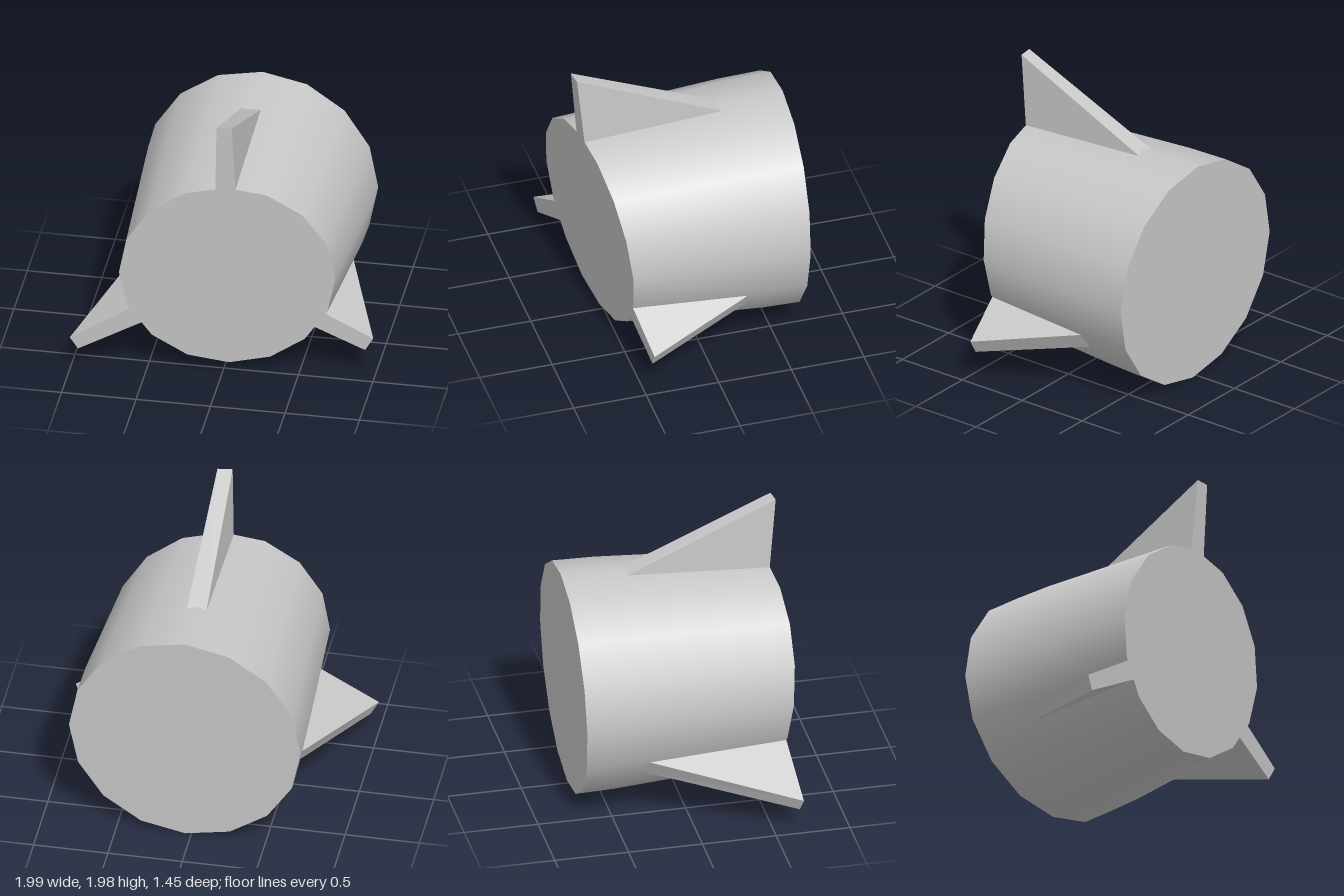
import * as THREE from 'three';

const CX = 0.04, CY = 0.782, SIDES = 16;
const R_FRONT = 0.71, R_MID = 0.776, R_BACK = 0.782;

// slanted end planes of the body
const frontZ = (x, y) => 0.605 - 0.127 * (x - CX) + 0.092 * (y - CY);
const backZ = (x, y) => -0.703 + 0.022 * (x - CX) - 0.026 * (y - CY);

// tapered shell: each ring of a unit cylinder gets its own radius and plane
function shellGeometry() {
  const g = new THREE.CylinderGeometry(R_FRONT, R_BACK, 1.3, SIDES, 2, true).rotateX(Math.PI / 2);
  const p = g.attributes.position;
  for (let i = 0; i < p.count; i++) {
    const level = Math.round(p.getZ(i) / 0.65); // 1 front, 0 middle, -1 back
    const a = Math.atan2(p.getY(i), p.getX(i));
    const r = [R_BACK, R_MID, R_FRONT][level + 1];
    const x = CX + r * Math.cos(a), y = CY + r * Math.sin(a);
    p.setXYZ(i, x, y, level === 1 ? frontZ(x, y) : level === 0 ? -0.43 : backZ(x, y));
  }
  return g;
}

// flat end disc laid on its slanted plane
function capGeometry(radius, planeZ, facesBack) {
  const g = new THREE.CircleGeometry(radius, SIDES);
  if (facesBack) g.rotateY(Math.PI);
  const p = g.attributes.position;
  for (let i = 0; i < p.count; i++) {
    const x = p.getX(i) + CX, y = p.getY(i) + CY;
    p.setXYZ(i, x, y, planeZ(x, y));
  }
  g.computeVertexNormals();
  return g;
}

// triangular fin pointing outwards at an angle, its front flush with the front cap
function finGeometry(angle, tipRadius, tipHalf) {
  const c = Math.cos(angle), s = Math.sin(angle);
  const at = (r, w, z) => {
    const x = CX + r * c - w * s, y = CY + r * s + w * c;
    return [x, y, z ?? frontZ(x, y)];
  };
  const half = 0.066;
  const side = (k) => [at(0.69, k * half), at(tipRadius, k * tipHalf), at(0.748, k * half, -0.3)];
  const [b0, t0, e0] = side(-1), [b1, t1, e1] = side(1);
  const faces = [
    b0, t0, t1, b0, t1, b1, // front
    b0, e0, t0, // one side
    b1, t1, e1, // other side
    t0, e0, e1, t0, e1, t1, // sloping outer edge
    b0, b1, e1, b0, e1, e0, // root
  ];
  const g = new THREE.BufferGeometry();
  g.setAttribute('position', new THREE.Float32BufferAttribute(faces.flat(), 3));
  g.computeVertexNormals();
  return g;
}

export function createModel() {
  const group = new THREE.Group();
  const grey = new THREE.MeshStandardMaterial({ color: 0xc8c8c8 });
  grey.name = 'light grey';
  const add = (name, geometry) => {
    const mesh = new THREE.Mesh(geometry, grey);
    mesh.name = name;
    group.add(mesh);
  };

  add('bodyShell', shellGeometry());
  add('frontCap', capGeometry(R_FRONT, frontZ, false));
  add('backCap', capGeometry(R_BACK, backZ, true));

  const deg = Math.PI / 180;
  add('topFin', finGeometry(90 * deg, 1.195, 0.05));
  add('leftFin', finGeometry(-30 * deg, 1.067, 0.055));
  add('rightFin', finGeometry(210 * deg, 1.172, 0.052));
  return group;
}
